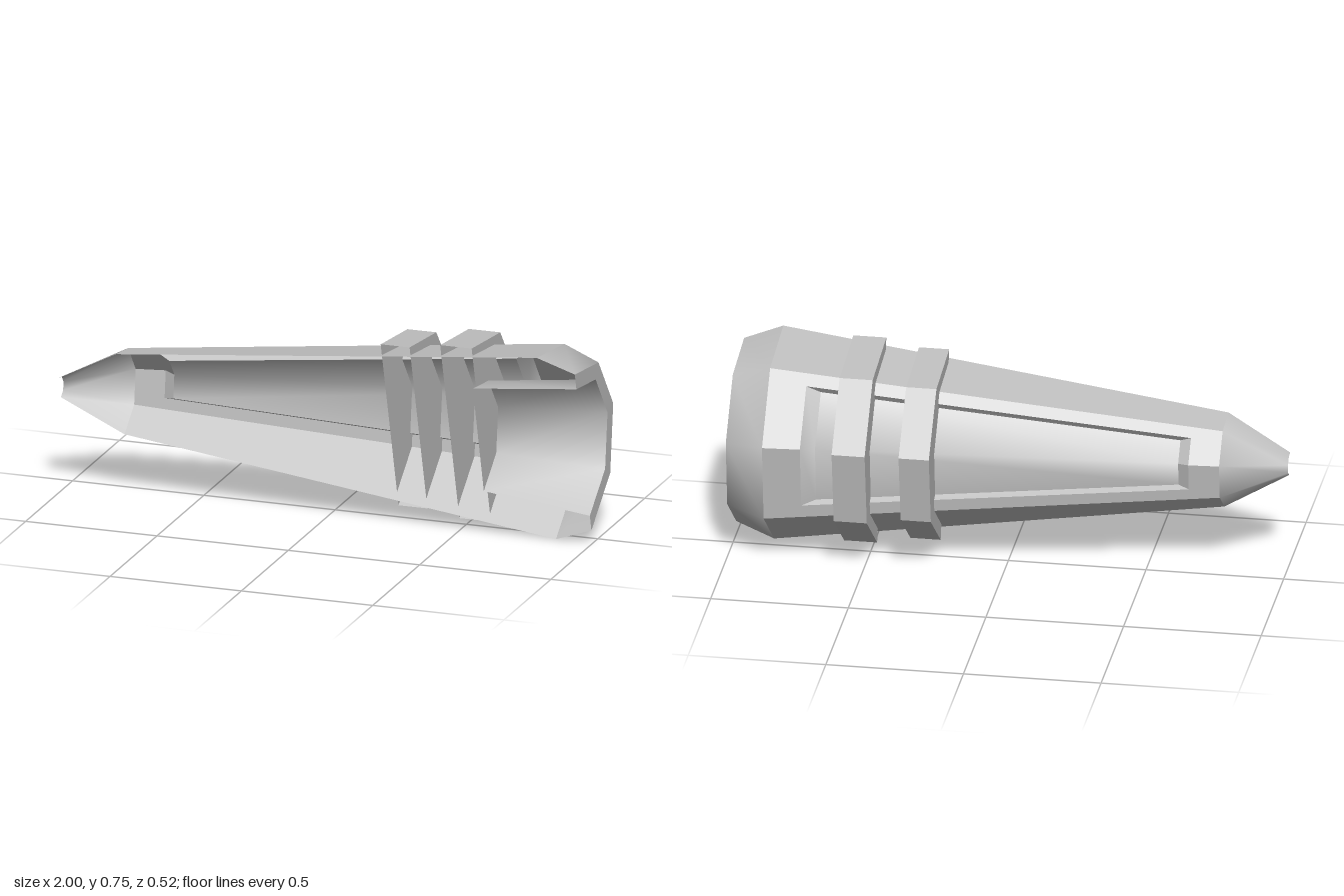
import * as THREE from 'three';

const shellGrey = new THREE.MeshStandardMaterial({ color: 0xc0c0c0, side: THREE.DoubleSide });
shellGrey.name = 'shellGrey';

// Direction of the tilted cut plane in (z, y), pointing to its top edge
const UZ = 0.2655, UY = 0.964;

// Point of the half octagon at station x, k = 0 (top edge) to 4 (bottom edge)
function corner(x, r, k) {
  const t = THREE.MathUtils.clamp((x + 0.77) / 1.63, 0, 1);
  const a = (k * Math.PI) / 4;
  const cz = 0.136 + 0.021 * t, cy = 0.396 - 0.02 * t;
  const z = cz + r * (Math.cos(a) * UZ - Math.sin(a) * UY);
  const y = cy + r * (Math.cos(a) * UY + Math.sin(a) * UZ);
  return new THREE.Vector3(x, y, z);
}

const ring = (x, r) => [0, 1, 2, 3, 4].map((k) => corner(x, r, k));

// Surface lofted through rows of points
function loft(name, rows, smooth = false) {
  const n = rows[0].length;
  const index = [];
  for (let i = 0; i < rows.length - 1; i++) {
    for (let j = 0; j < n - 1; j++) {
      const a = i * n + j, b = a + n;
      index.push(a, a + 1, b, a + 1, b + 1, b);
    }
  }
  let geo = new THREE.BufferGeometry().setFromPoints(rows.flat());
  geo.setIndex(index);
  if (!smooth) geo = geo.toNonIndexed();
  geo.computeVertexNormals();
  const mesh = new THREE.Mesh(geo, shellGrey);
  mesh.name = name;
  return mesh;
}

// Flat convex plate through the given points
function plate(name, pts) {
  const geo = new THREE.BufferGeometry().setFromPoints(pts);
  const index = [];
  for (let i = 1; i < pts.length - 1; i++) index.push(0, i, i + 1);
  geo.setIndex(index);
  geo.computeVertexNormals();
  const mesh = new THREE.Mesh(geo, shellGrey);
  mesh.name = name;
  return mesh;
}

// Three points across the rear window: upper edge, rear fold, lower edge
function windowRow(x, r, f, foldX = x) {
  const fold = corner(foldX, r, 2);
  return [
    corner(x, r, 1).lerp(corner(x, r, 2), f),
    fold,
    corner(x, r, 3).lerp(corner(x, r, 2), f),
  ];
}

export function createModel() {
  const model = new THREE.Group();
  model.name = 'halfShell';
  const bodyRadius = (x) => 0.171 + (0.216 * (x + 0.77)) / 1.63;

  // Tapered nose and flared rim
  model.add(loft('nose', [ring(-1, 0.041), ring(-0.77, 0.171)], true));
  model.add(loft('rimBevel', [ring(0.86, 0.387), ring(1, 0.333)], true));

  // Main body, left open around the rear window
  const xa = -0.66, xb = 0.725;
  const ra = bodyRadius(xa), rb = bodyRadius(xb);
  const A = ring(xa, ra), B = ring(xb, rb);
  const wa = windowRow(xa, ra, 0.29), wb = windowRow(xb, rb, 0.17);
  const body = new THREE.Group();
  body.name = 'body';
  body.add(
    loft('bodyNoseEnd', [ring(-0.77, 0.171), A]),
    loft('bodyUpper', [[A[0], A[1], wa[0]], [B[0], B[1], wb[0]]]),
    loft('bodyLower', [[wa[2], A[3], A[4]], [wb[2], B[3], B[4]]]),
    loft('bodyRimEnd', [B, ring(0.86, 0.387)])
  );
  model.add(body);

  // Recessed panel inside the window and its side walls
  const depth = 0.026, pxa = -0.62, pxb = 0.675;
  const pa = windowRow(pxa, bodyRadius(pxa) - depth, 0.31);
  const pb = windowRow(pxb, bodyRadius(pxb) - depth, 0.18);
  const recess = new THREE.Group();
  recess.name = 'recess';
  recess.add(
    loft('recessPanel', [pa, pb], true),
    loft('recessNoseWall', [wa, pa]),
    loft('recessRimWall', [pb, wb], true),
    loft('recessUpperWall', [[wa[0], wb[0]], [pa[0], pb[0]]]),
    loft('recessLowerWall', [[wa[2], wb[2]], [pa[2], pb[2]]])
  );
  model.add(recess);

  // Cup in the wide end: inner wall, back plate and rim face
  const cupBack = ring(0.6, 0.219);
  const cupMouth = ring(1, 0.27);
  model.add(loft('cupWall', [cupBack, cupMouth], true));
  model.add(plate('cupBack', cupBack));
  model.add(loft('rimFace', [cupMouth, ring(1, 0.333)]));

  // Two ribs wrapped around the body, as [z, y] sections
  const ribs = [
    { x0: 0.25, x1: 0.36, pts: [[0.215, 0.72], [-0.07, 0.69], [-0.24, 0.485], [-0.194, 0.222], [0.025, 0.055]] },
    { x0: 0.48, x1: 0.6, pts: [[0.225, 0.745], [-0.08, 0.713], [-0.26, 0.49], [-0.211, 0.208], [0.02, 0.03]] },
  ];
  for (const { x0, x1, pts } of ribs) {
    const [s0, s1] = [x0, x1].map((x) => pts.map(([z, y]) => new THREE.Vector3(x, y, z)));
    const rib = new THREE.Group();
    rib.name = 'rib';
    rib.add(loft('ribBand', [s0, s1]), plate('ribNoseSide', s0), plate('ribRimSide', s1));
    model.add(rib);
  }
  return model;
}
